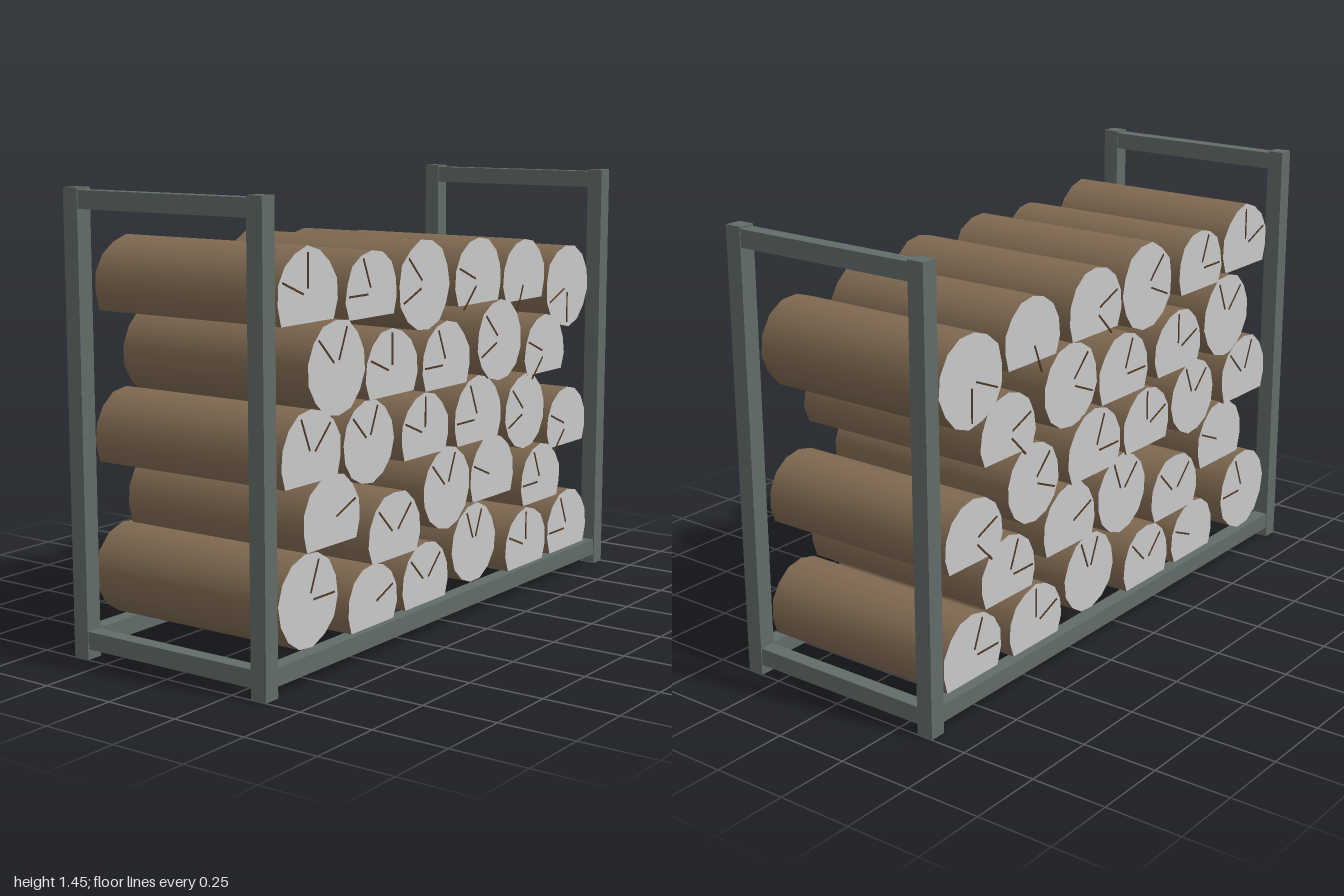
import * as THREE from 'three';

function material(name, color) {
  const m = new THREE.MeshStandardMaterial({ color });
  m.name = name;
  return m;
}

// Each log: centre x, centre y, radius, then crack directions in 22.5 degree steps
const ROUND_LOGS = [
  [-0.765, 0.246, 0.146, 0, 3], [0.155, 0.235, 0.135, 5, 3],
  [-0.024, 0.455, 0.138, 6, 3],
  [-0.457, 0.676, 0.133, 6, 3], [0.46, 0.64, 0.131, 6, 9],
  [-0.636, 0.928, 0.145, 6, 3], [0.278, 0.91, 0.14, 6, 9],
  [-0.158, 1.13, 0.144, 6, 9], [0.765, 1.048, 0.148, 9, 12],
];
const SPLIT_LOGS = [
  [-0.455, 0.165, 0.131, 1], [-0.152, 0.169, 0.134, 2, 6],
  [0.46, 0.168, 0.135, 4, 7], [0.767, 0.17, 0.142, 5, 8],
  [-0.642, 0.465, 0.145, 1], [-0.332, 0.362, 0.141, 2, 6],
  [0.281, 0.444, 0.142, 7], [0.586, 0.372, 0.135, 5, 8],
  [-0.765, 0.679, 0.147, 2, 5], [-0.155, 0.655, 0.136, 4, 7],
  [0.16, 0.657, 0.145, 5, 8], [0.765, 0.549, 0.136, 7, 10],
  [-0.334, 0.876, 0.139, 4, 7], [-0.027, 0.862, 0.141, 5, 8],
  [0.588, 0.832, 0.135, 7, 10],
  [-0.765, 1.149, 0.146, 4, 7], [-0.457, 1.13, 0.135, 5, 8],
  [0.152, 1.118, 0.142, 7, 10], [0.463, 1.098, 0.138, 11],
];

export function createModel() {
  const model = new THREE.Group();
  model.name = 'firewoodRack';
  const steel = material('grey green steel', 0x616b67);
  const bark = material('brown bark', 0x7f6951);
  const cutWood = material('pale cut wood', 0xc8c8c8);
  const splitWood = material('tan split wood', 0xb29262);
  const crackBrown = material('dark crack', 0x523a23);

  let seed = 7;
  const random = () => (seed = (seed * 16807) % 2147483647) / 2147483647;

  // Steel frame
  const frame = new THREE.Group();
  frame.name = 'frame';
  model.add(frame);
  const bar = (name, w, h, d, x, y, z) => {
    const mesh = new THREE.Mesh(new THREE.BoxGeometry(w, h, d), steel);
    mesh.name = name;
    mesh.position.set(x, y, z);
    frame.add(mesh);
  };
  const T = 0.056, X = 1 - T / 2, Z = 0.378 - T / 2;
  for (const sx of [-1, 1]) {
    for (const sz of [-1, 1]) bar('post', T, 1.45, T, sx * X, 0.725, sz * Z);
    bar('topSideRail', T - 0.006, T, 2 * Z - T, sx * X, 1.415, 0);
    bar('bottomSideRail', T - 0.006, T, 2 * Z - T, sx * X, 0.062, 0);
  }
  for (const sz of [-1, 1]) bar('bottomLongRail', 2 * X - T, T, T - 0.006, 0, 0.062, sz * Z);

  // Logs: slightly uneven cylinders along z; split ones are an arc closed by a flat underside
  const CUT = 0.52, CUT_ANGLE = Math.acos(CUT);
  function addLog([x, y, r, ...cracks], split) {
    const log = new THREE.Group();
    log.name = split ? 'splitLog' : 'roundLog';
    log.position.set(x, y, (random() - 0.5) * 0.015);
    const length = 0.69 + random() * 0.035;
    const sides = split ? 10 : 14;
    const start = split ? CUT_ANGLE : random() * 0.45;
    const arc = 2 * Math.PI - (split ? 2 * CUT_ANGLE : 0);
    const radii = Array.from({ length: sides }, (_, k) => (k ? r * (0.965 + random() * 0.055) : r));

    // Angles run from straight down, so the arc ends meet the cut line
    const geometry = new THREE.CylinderGeometry(1, 1, length, sides, 1, false, start, arc);
    geometry.rotateX(Math.PI / 2);
    const p = geometry.attributes.position;
    for (let i = 0; i < p.count; i++) {
      const px = p.getX(i), py = p.getY(i);
      if (Math.hypot(px, py) < 0.1) {
        if (split) p.setY(i, -CUT * r);
        continue;
      }
      const angle = (Math.atan2(px, -py) - start + 4 * Math.PI + 1e-4) % (2 * Math.PI);
      const radius = radii[Math.round(angle / arc * sides) % sides];
      p.setXY(i, px * radius, py * radius);
    }
    const body = new THREE.Mesh(geometry, [bark, cutWood, cutWood]);
    body.name = 'logBody';
    log.add(body);

    if (split) {
      const face = new THREE.PlaneGeometry(2 * r * Math.sin(CUT_ANGLE), length);
      face.rotateX(Math.PI / 2);
      const underside = new THREE.Mesh(face, splitWood);
      underside.name = 'splitFace';
      underside.position.y = -CUT * r;
      log.add(underside);
    }

    // Drying cracks on both ends
    for (const step of cracks) {
      const angle = step * Math.PI / 8;
      for (const end of [-1, 1]) {
        const crack = new THREE.Mesh(new THREE.BoxGeometry(0.72 * r, 0.006, 0.004), crackBrown);
        crack.name = 'crack';
        crack.rotation.z = angle;
        crack.position.set(0.52 * r * Math.cos(angle), 0.52 * r * Math.sin(angle), end * length / 2);
        log.add(crack);
      }
    }
    model.add(log);
  }
  ROUND_LOGS.forEach((log) => addLog(log, false));
  SPLIT_LOGS.forEach((log) => addLog(log, true));
  return model;
}
